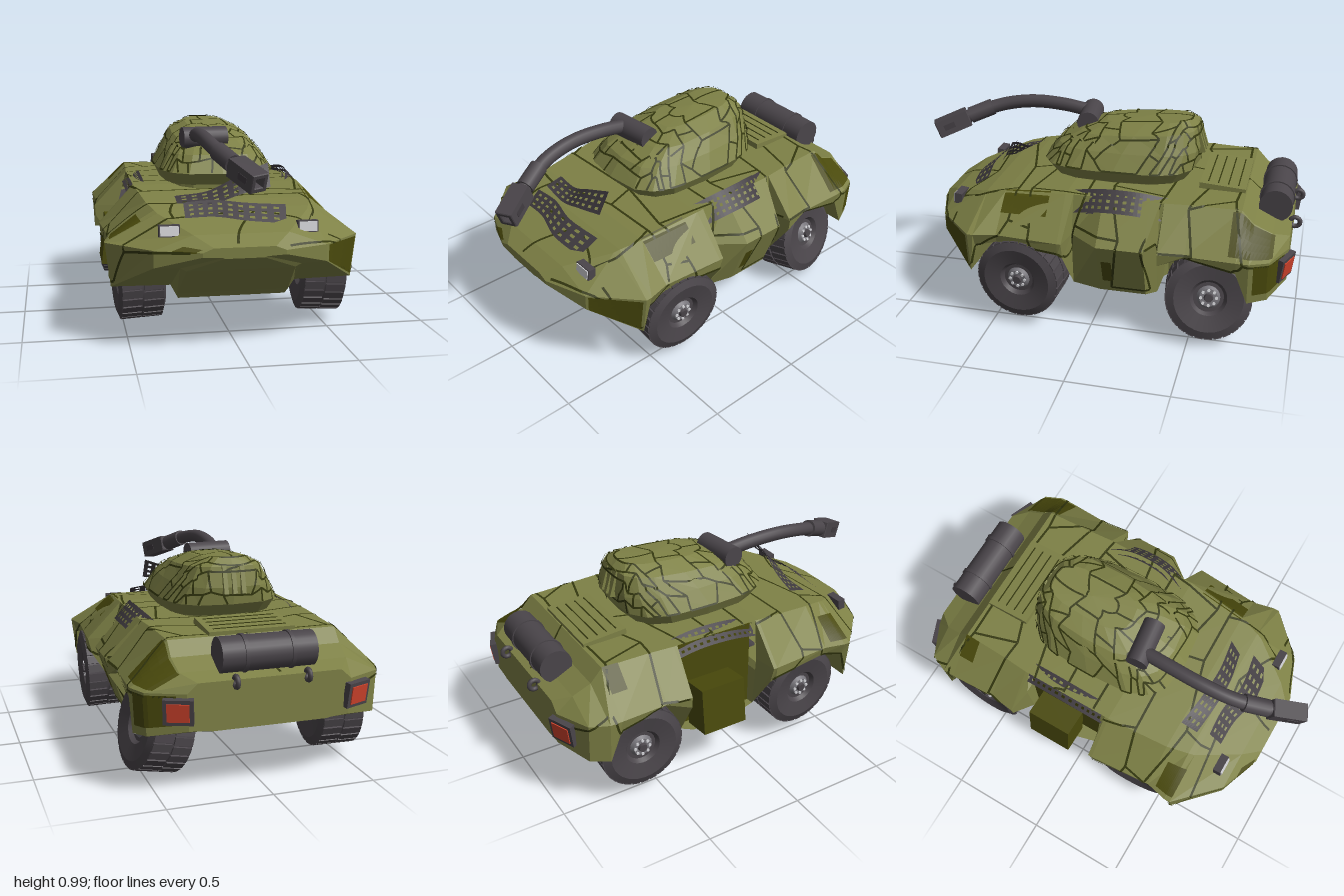
import * as THREE from 'three';
import { mergeGeometries, toCreasedNormals } from 'three/addons/utils/BufferGeometryUtils.js';

const V = (x, y, z) => new THREE.Vector3(x, y, z);
const mat = (name, color, side = THREE.FrontSide) => {
  const m = new THREE.MeshStandardMaterial({ color, side });
  m.name = name;
  return m;
};
const olive = mat('olive armour', 0x7e8146, THREE.DoubleSide);
const darkOlive = mat('dark olive', 0x4a4a0c, THREE.DoubleSide);
const seam = mat('seam line', 0x34380f, THREE.DoubleSide);
const grey = mat('dark grey', 0x4a454a);
const strapGrey = mat('strap grey', 0x403b40, THREE.DoubleSide);
const steel = mat('hub steel', 0x76747a);
const pale = mat('pale lamp', 0xd6d6da);
const red = mat('red lamp', 0xd0432c);

function add(parent, name, geo, material, pos = [0, 0, 0], rot = [0, 0, 0]) {
  const m = new THREE.Mesh(geo, material);
  m.name = name;
  m.position.set(...pos);
  m.rotation.set(...rot, 'YXZ');
  parent.add(m);
  return m;
}
const box = (w, h, d) => new THREE.BoxGeometry(w, h, d);

function fromTriangles(pos) {
  const g = new THREE.BufferGeometry();
  g.setAttribute('position', new THREE.Float32BufferAttribute(pos, 3));
  g.computeVertexNormals();
  return g;
}
const quad = (out, a, b, c, d) => [a, b, c, c, b, d].forEach(p => out.push(p.x, p.y, p.z));
// faceted grid of quads over f(i, j), with optional missing cells
function sheet(f, ni, nj, skip = () => false) {
  const out = [];
  for (let i = 0; i < ni; i++) for (let j = 0; j < nj; j++)
    if (!skip(i, j)) quad(out, f(i, j), f(i, j + 1), f(i + 1, j), f(i + 1, j + 1));
  return fromTriangles(out);
}

// hull stations: z, deck y, deck half width, widest, skirt half width, skirt y, well half width, belly y
const S = [
  [0.88, 0.53, 0.14, 0.19, 0.19, 0.49, 0.1, 0.48], [0.8, 0.575, 0.22, 0.4, 0.4, 0.43, 0.28, 0.41],
  [0.6, 0.64, 0.36, 0.605, 0.58, 0.3, 0.3, 0.25], [0.57, 0.65, 0.37, 0.605, 0.58, 0.44, 0.29, 0.22],
  [0.46, 0.67, 0.4, 0.58, 0.57, 0.47, 0.29, 0.22], [0.14, 0.7, 0.43, 0.605, 0.6, 0.45, 0.29, 0.22],
  [0.12, 0.7, 0.43, 0.605, 0.58, 0.42, 0.3, 0.22], [0.1, 0.7, 0.43, 0.48, 0.46, 0.23, 0.4, 0.22],
  [-0.05, 0.7, 0.43, 0.6, 0.5, 0.23, 0.4, 0.22], [-0.28, 0.7, 0.43, 0.6, 0.5, 0.23, 0.4, 0.22],
  [-0.33, 0.7, 0.43, 0.48, 0.46, 0.23, 0.4, 0.22], [-0.35, 0.7, 0.43, 0.605, 0.6, 0.45, 0.28, 0.22],
  [-0.48, 0.7, 0.42, 0.59, 0.58, 0.5, 0.28, 0.22], [-0.72, 0.695, 0.41, 0.6, 0.59, 0.45, 0.28, 0.27],
  [-0.78, 0.63, 0.41, 0.6, 0.59, 0.3, 0.3, 0.28], [-0.87, 0.585, 0.4, 0.56, 0.55, 0.31, 0.3, 0.3],
  [-0.95, 0.555, 0.34, 0.39, 0.38, 0.34, 0.3, 0.33],
];
function hullCorner(s, j) {
  const k = ((j % 12) + 12) % 12, m = k > 6 ? 12 - k : k;
  const [z, yt, xs, xw, xd, yd, xe, yf] = s;
  const p = [[0, yt], [xs, yt], [xw, 0.51], [xd, yd], [xe, yd - 0.005], [Math.min(0.28, xe * 0.9), yf], [0, yf]][m];
  return V(k > 6 ? -p[0] : p[0], p[1], z);
}
// point on the hull at length z and girth j (0 = deck centre, 3 = left skirt)
function hullAt(z, j) {
  let k = 0;
  while (k < S.length - 2 && S[k + 1][0] > z) k++;
  const t = THREE.MathUtils.clamp((S[k][0] - z) / (S[k][0] - S[k + 1][0]), 0, 1);
  const s = S[k].map((v, n) => v + (S[k + 1][n] - v) * t), j0 = Math.floor(j);
  return hullCorner(s, j0).lerp(hullCorner(s, j0 + 1), j - j0);
}
// turret rings: y, half width, centre z, half length
const R = [[0.69, 0.24, -0.06, 0.31], [0.72, 0.24, -0.06, 0.31], [0.715, 0.27, -0.06, 0.355], [0.775, 0.3, -0.06, 0.4],
  [0.86, 0.25, -0.1, 0.37], [0.94, 0.195, -0.145, 0.305], [0.98, 0.11, -0.19, 0.22], [0.988, 0, -0.2, 0]];
function turretAt(r, a) {
  const k = Math.min(Math.floor(r), R.length - 2);
  const [y, hx, zc, hz] = R[k].map((v, n) => v + (R[k + 1][n] - v) * (r - k));
  const c = Math.cos(a * Math.PI / 8), s = Math.sin(a * Math.PI / 8), e = v => Math.sign(v) * Math.abs(v) ** 0.62;
  const z = zc - hz * e(s);
  return V(hx * e(c), y - (y > 0.9 ? (z + 0.18) * 0.07 : 0), z);
}
// the turret roof as a square patch, -1 to 1 each way
const roofAt = (u, v) => turretAt(7 - 4 * Math.max(Math.abs(u), Math.abs(v)), Math.atan2(-u, v) * 8 / Math.PI);

// surface point pushed out of a patch that runs along +z then +x
function lifted(f, u, v, h) {
  const d = 1e-3, p = f(u, v);
  const n = f(u + d, v).sub(f(u - d, v)).cross(f(u, v + d).sub(f(u, v - d))).normalize();
  return { p: p.addScaledVector(n, h), n };
}
let seed = 7;
const rnd = () => ((seed = (seed * 16807) % 2147483647) / 2147483647) - 0.5;
// irregular plate seams: a jittered brick grid laid on a surface
function seams(f, u0, u1, nu, v0, v1, nv, width, hidden = () => false) {
  const out = [], du = (u1 - u0) / nu, dv = (v1 - v0) / nv, pts = [];
  for (let i = 0; i <= nu; i++) {
    pts.push([]);
    for (let j = 0; j <= nv; j++)
      pts[i].push([u0 + du * (i + (i % nu ? rnd() * 0.75 : 0)), v0 + dv * (j + (j % nv ? rnd() * 0.7 : 0))]);
  }
  const line = (a, b) => {
    let last = null;
    for (let k = 0; k <= 14; k++) {
      const t = k / 14, u = a[0] + (b[0] - a[0]) * t, v = a[1] + (b[1] - a[1]) * t;
      const { p, n } = lifted(f, u, v, 0.004);
      const dir = f(u + (b[0] - a[0]) * 0.01, v + (b[1] - a[1]) * 0.01).sub(f(u, v));
      const side = dir.cross(n).normalize().multiplyScalar(width / 2);
      const now = [p.clone().sub(side), p.clone().add(side)];
      if (last && !hidden(u, v) && last[0].distanceTo(now[0]) < 0.09) quad(out, last[0], last[1], now[0], now[1]);
      last = now;
    }
  };
  for (let i = 0; i <= nu; i++) for (let j = 0; j <= nv; j++) {
    if (j < nv && i % nu) line(pts[i][j], pts[i][j + 1]);
    if (i < nu && (i + j) % 2) line(pts[i][j], pts[i + 1][j]);
  }
  return fromTriangles(out);
}
// perforated strap along a curve, width vector turning from w0 to w1
function strap(path, w0, w1, holes) {
  const c = new THREE.CatmullRomCurve3(path.map(p => V(...p))), web = 0.55;
  const at = (i, count) => (Math.floor(i / 2) + (i % 2) * web) / (count + web);
  const f = (i, j) => c.getPoint(at(i, holes)).addScaledVector(V(...w0).lerp(V(...w1), at(i, holes)), at(j, 3) - 0.5);
  return sheet(f, holes * 2 + 1, 7, (i, j) => i % 2 === 1 && j % 2 === 1);
}

function wheel(parent, name, pos, rot) {
  const g = new THREE.Group();
  g.name = name;
  const prof = [[0, -0.08], [0.075, -0.08], [0.09, -0.1], [0.17, -0.115], [0.207, -0.1], [0.203, -0.09], [0.203, 0.09], [0.207, 0.1], [0.17, 0.115], [0.09, 0.1], [0.075, 0.08], [0, 0.08]];
  const tire = new THREE.LatheGeometry(prof.map(p => new THREE.Vector2(...p)), 32).rotateZ(-Math.PI / 2);
  add(g, 'tire', toCreasedNormals(tire, 0.5), grey);
  const bars = [], bolts = [];
  for (let i = 0; i < 28; i++) for (const s of [-1, 1])
    bars.push(box(0.095, 0.014, 0.038).translate(s * 0.052, 0.204, 0).rotateX((i + s * 0.12) * Math.PI / 14));
  add(g, 'tread', mergeGeometries(bars), grey);
  for (const s of [-1, 1]) {
    add(g, 'hub', new THREE.CylinderGeometry(0.045, 0.062, 0.02, 20).rotateZ(-s * Math.PI / 2), steel, [s * 0.085, 0, 0]);
    add(g, 'hubCap', new THREE.CylinderGeometry(0.02, 0.024, 0.016, 12).rotateZ(-s * Math.PI / 2), grey, [s * 0.101, 0, 0]);
    for (let i = 0; i < 8; i++)
      bolts.push(new THREE.CylinderGeometry(0.008, 0.008, 0.02, 6).rotateZ(Math.PI / 2).translate(s * 0.092, 0.038, 0).rotateX(i * Math.PI / 4));
  }
  add(g, 'wheelBolts', mergeGeometries(bolts), pale);
  g.position.set(...pos);
  g.rotation.set(...rot);
  parent.add(g);
}

export function createModel() {
  const root = new THREE.Group();
  root.name = 'armouredCar';

  // hull, with the right door missing
  const n = S.length;
  const hullGrid = (i, j) => i === 0 ? V(0, 0.5, S[0][0]) : i > n ? V(0, 0.45, S[n - 1][0]) : hullCorner(S[i - 1], j);
  add(root, 'hull', sheet(hullGrid, n + 1, 12, (i, j) => i >= 8 && i <= 10 && (j === 9 || j === 10)), olive);
  add(root, 'hullSeams', seams(hullAt, -0.93, 0.86, 9, -2.9, 2.9, 6, 0.012, (z, j) => j < -1 && z > -0.36 && z < 0.13), seam);
  add(root, 'cabinWall', box(0.04, 0.46, 0.42), darkOlive, [-0.4, 0.46, -0.115]);
  add(root, 'brokenDoor', box(0.15, 0.24, 0.24), darkOlive, [-0.5, 0.36, -0.15], [0, 0, -0.12]);
  add(root, 'bellyOpening', box(0.28, 0.006, 0.46), grey, [-0.28, 0.217, -0.12]);
  const patches = [[0.46, 0.22, 0.97, 1.5], [0.79, 0.61, 2.05, 2.95], [-0.68, -0.88, 1.05, 1.9], [-0.8, -0.93, 2.05, 2.8],
    [-0.64, -0.72, 10.5, 11], [0.6, 0.5, 10.1, 10.7], [-0.07, -0.12, 2.3, 2.75], [0.87, 0.83, 9.9, 10.4]];
  for (const [z0, z1, j0, j1] of patches)
    add(root, 'darkPatch', sheet((i, j) => lifted(hullAt, z0 + (z1 - z0) * i / 12, j0 + (j1 - j0) * j / 4, 0.004).p, 12, 4), darkOlive);

  // engine deck grille
  const deck = add(root, 'engineDeck', box(0.42, 0.03, 0.23), olive, [0, 0.708, -0.6], [-0.08, 0, 0]);
  for (let i = 0; i < 4; i++) add(deck, 'deckSlit', box(0.36, 0.004, 0.006), seam, [0, 0.0155, -0.075 + i * 0.05]);

  // turret
  add(root, 'turret', sheet(turretAt, R.length - 1, 16), olive);
  add(root, 'turretSeams', seams(roofAt, -0.99, 0.99, 11, -0.99, 0.99, 10, 0.01), seam);
  for (let i = 0; i < 3; i++)
    add(root, 'turretVent', box(0.022, 0.14, 0.03), olive, [-0.045 + i * 0.045, 0.895, -0.455], [0.3, 0, 0]);

  // drooping gun
  add(root, 'mantlet', new THREE.CylinderGeometry(0.056, 0.056, 0.23, 20).rotateZ(Math.PI / 2), grey, [-0.065, 0.935, 0.14], [0, 0.12, 0]);
  const path = new THREE.CatmullRomCurve3([V(-0.11, 0.945, 0.14), V(-0.12, 0.968, 0.3), V(-0.122, 0.972, 0.48), V(-0.1, 0.945, 0.65), V(-0.035, 0.886, 0.82)]);
  add(root, 'barrel', new THREE.TubeGeometry(path, 32, 0.035, 14), grey);
  const aim = (m, from, to) => {
    m.position.copy(from);
    m.quaternion.setFromUnitVectors(V(0, 0, 1), to.clone().sub(from).normalize());
  };
  const tip = V(-0.035, 0.886, 0.82), end = V(0.05, 0.82, 0.985);
  aim(add(root, 'barrelSleeve', new THREE.CylinderGeometry(0.044, 0.044, 0.13, 16).rotateX(Math.PI / 2), grey), V(-0.065, 0.913, 0.75), tip);
  const square = (Cls, r) => new Cls([[-r, -r], [r, -r], [r, r], [-r, r]].map(p => new THREE.Vector2(...p)));
  const mouth = square(THREE.Shape, 0.04);
  mouth.holes.push(square(THREE.Path, 0.025));
  const muzzle = add(root, 'muzzle', new THREE.ExtrudeGeometry(mouth, { depth: 0.174, bevelSize: 0.004, bevelThickness: 0.004, bevelSegments: 1 }), grey);
  aim(muzzle, tip, end);
  for (const s of [-1, 1]) add(muzzle, 'muzzleSlot', box(0.004, 0.03, 0.06), strapGrey, [s * 0.044, 0, 0.11]);

  // perforated straps: the left one bows outward in two layers, the right one sags
  const bowed = [[0.41, 0.655, 0.11], [0.45, 0.69, -0.03], [0.45, 0.69, -0.21], [0.41, 0.655, -0.36]];
  const sagging = [[-0.41, 0.66, 0.11], [-0.415, 0.685, -0.03], [-0.415, 0.69, -0.21], [-0.41, 0.665, -0.36]];
  for (const d of [0, -0.022])
    add(root, 'leftSideStrap', strap(bowed, [0.08, -0.09, 0], [0.08, -0.09, 0], 13), strapGrey, [d, d * 0.8, 0]);
  add(root, 'rightSideStrap', strap(sagging, [-0.09, -0.06, 0], [-0.09, -0.06, 0], 13), strapGrey);
  add(root, 'upperFrontStrap', strap([[-0.26, 0.685, 0.51], [-0.1, 0.695, 0.53], [0.05, 0.755, 0.54], [0.19, 0.795, 0.52]], [0, 0.02, -0.09], [0, 0.11, -0.06], 9), strapGrey);
  add(root, 'lowerFrontStrap', strap([[-0.24, 0.66, 0.65], [-0.1, 0.665, 0.65], [0.05, 0.65, 0.68], [0.24, 0.63, 0.66]], [0, 0.06, -0.07], [0.02, 0.07, -0.1], 9), strapGrey);

  // rear drum and its hooks
  add(root, 'drum', new THREE.CylinderGeometry(0.082, 0.082, 0.45, 24).rotateZ(Math.PI / 2), grey, [0, 0.648, -0.866]);
  for (const x of [-0.11, 0.11])
    add(root, 'drumBand', new THREE.CylinderGeometry(0.088, 0.088, 0.018, 24).rotateZ(Math.PI / 2), grey, [x, 0.648, -0.866]);
  for (const x of [-0.17, 0.17])
    add(root, 'towHook', new THREE.TorusGeometry(0.024, 0.012, 8, 16).rotateY(Math.PI / 2), grey, [x, 0.55, -0.964]);

  // lamps
  for (const s of [-1, 1]) {
    const head = add(root, 'headlamp', box(0.095, 0.055, 0.04), grey, [s * 0.322, 0.585, 0.735], [-0.12, 0, 0]);
    add(head, 'headlampGlass', box(0.084, 0.045, 0.008), pale, [0, 0, 0.021]);
    const tail = add(root, 'tailLamp', box(0.135, 0.12, 0.03), grey, [s * 0.425, 0.432, -0.938], [0.14, s * 2.76, 0]);
    add(tail, 'tailLampGlass', box(0.1, 0.085, 0.008), red, [0, 0, 0.016]);
  }

  // axles and wheels, the left rear one bent loose
  for (const z of [0.35, -0.59])
    add(root, 'axle', new THREE.CylinderGeometry(0.04, 0.04, 0.7, 12).rotateZ(Math.PI / 2), grey, [0, 0.28, z]);
  wheel(root, 'leftFrontWheel', [0.485, 0.282, 0.35], [0, -0.06, -0.04]);
  wheel(root, 'rightFrontWheel', [-0.435, 0.285, 0.35], [0, 0.05, 0.04]);
  wheel(root, 'leftRearWheel', [0.43, 0.244, -0.58], [0, 0.15, 0.23]);
  wheel(root, 'rightRearWheel', [-0.45, 0.28, -0.59], [0, -0.04, 0]);
  return root;
}
